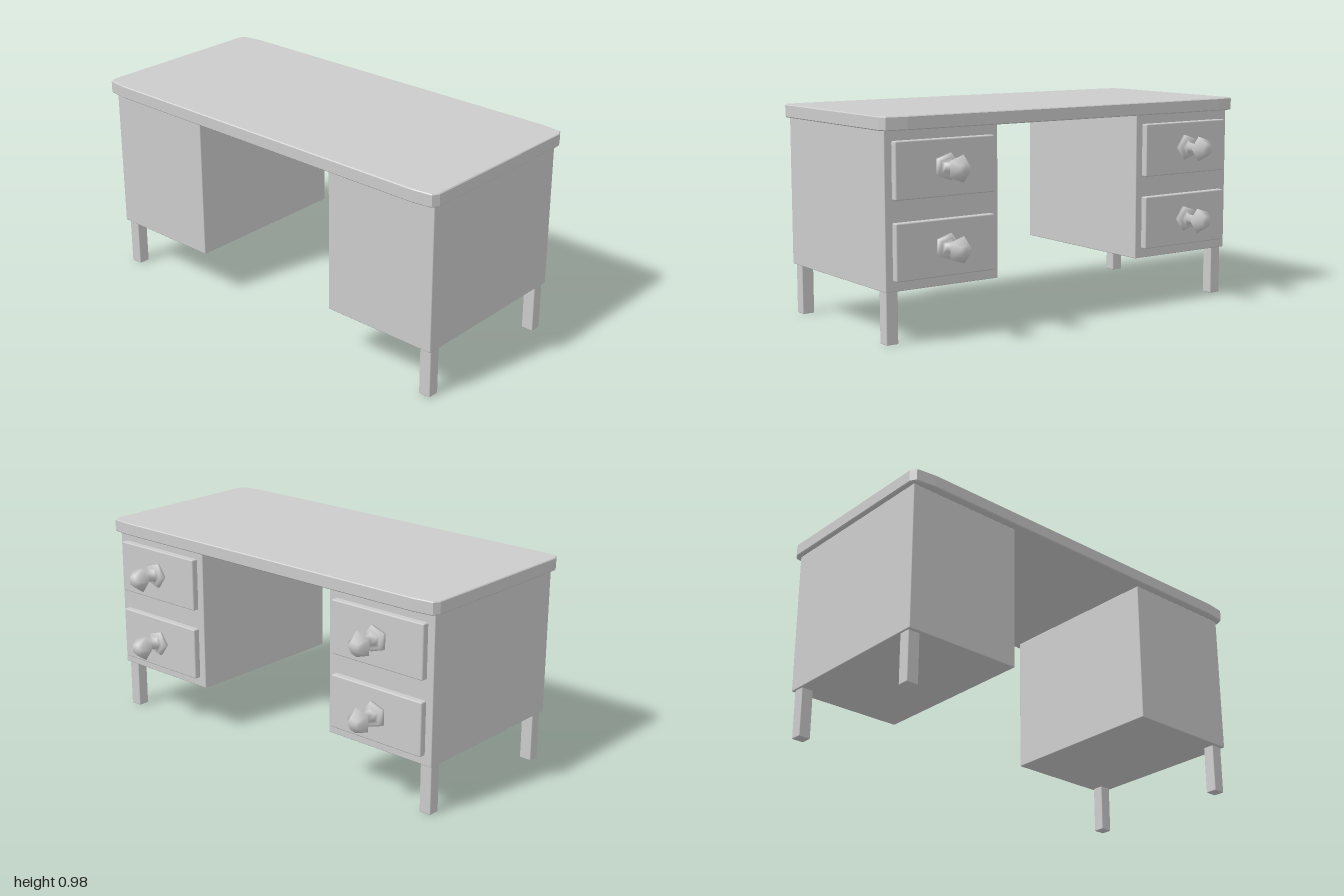
import * as THREE from 'three';
import { RoundedBoxGeometry } from 'three/addons/geometries/RoundedBoxGeometry.js';

const material = new THREE.MeshStandardMaterial({ color: 0xcccccc });

// Box given by its limits, with finely eased edges
function block(name, [x0, x1], [y0, y1], [z0, z1], ease) {
  const geometry = new RoundedBoxGeometry(x1 - x0, y1 - y0, z1 - z0, 1, ease);
  geometry.translate((x0 + x1) / 2, (y0 + y1) / 2, (z0 + z1) / 2);
  const mesh = new THREE.Mesh(geometry, material);
  mesh.name = name;
  return mesh;
}

// Slab with clipped, slightly tapering corners
function createTabletop() {
  const xMid = -0.0715, halfX = 0.462, halfZ = 0.996, bevel = 0.004;
  const corner = [[halfX, halfZ - 0.11], [halfX - 0.012, halfZ - 0.015], [halfX - 0.04, halfZ]];
  const back = [...corner].reverse();
  const outline = [
    ...corner,
    ...back.map(([x, z]) => [-x, z]),
    ...corner.map(([x, z]) => [-x, -z]),
    ...back.map(([x, z]) => [x, -z]),
  ].map(([x, z]) => new THREE.Vector2(x + xMid, z));
  const geometry = new THREE.ExtrudeGeometry(new THREE.Shape(outline), {
    depth: 0.06 - 2 * bevel, bevelThickness: bevel, bevelSize: bevel, bevelSegments: 1,
  });
  geometry.rotateX(-Math.PI / 2).translate(0, 0.92 + bevel, 0);
  const mesh = new THREE.Mesh(geometry, material);
  mesh.name = 'tabletop';
  return mesh;
}

// Five-sided turned knob pointing along +x, one corner towards the kneehole
function createKnob(y, z, side) {
  const profile = [
    [0, 0], [0.062, 0], [0.062, 0.015], [0.045, 0.027], [0.024, 0.027],
    [0.021, 0.065], [0.062, 0.108], [0.03, 0.152], [0, 0.152],
  ].map(([r, h]) => new THREE.Vector2(r, h));
  const geometry = new THREE.LatheGeometry(profile, 5, side > 0 ? Math.PI : 0);
  geometry.rotateZ(-Math.PI / 2);
  const mesh = new THREE.Mesh(geometry, material);
  mesh.position.set(0.383, y, z);
  mesh.name = 'drawerKnob';
  return mesh;
}

export function createModel() {
  const desk = new THREE.Group();
  desk.name = 'desk';
  desk.add(createTabletop());

  for (const side of [1, -1]) {
    const pedestal = new THREE.Group();
    pedestal.name = side > 0 ? 'leftPedestal' : 'rightPedestal';
    const span = (a, b) => (side > 0 ? [a, b] : [-b, -a]);

    pedestal.add(block('cabinet', [-0.497, 0.354], [0.232, 0.922], span(0.4, 0.977), 0.004));

    // Drawer fronts with their knobs
    for (const y of [0.75, 0.403]) {
      pedestal.add(block('drawerFront', [0.34, 0.385], [y - 0.125, y + 0.125], span(0.437, 0.941), 0.006));
      pedestal.add(createKnob(y + 0.004, side * 0.69, side));
    }

    // Legs stand under the outer edge only
    for (const x of [-0.452, 0.312]) {
      pedestal.add(block('leg', [x - 0.028, x + 0.028], [0, 0.24], span(0.909, 0.968), 0.004));
    }
    desk.add(pedestal);
  }
  return desk;
}
